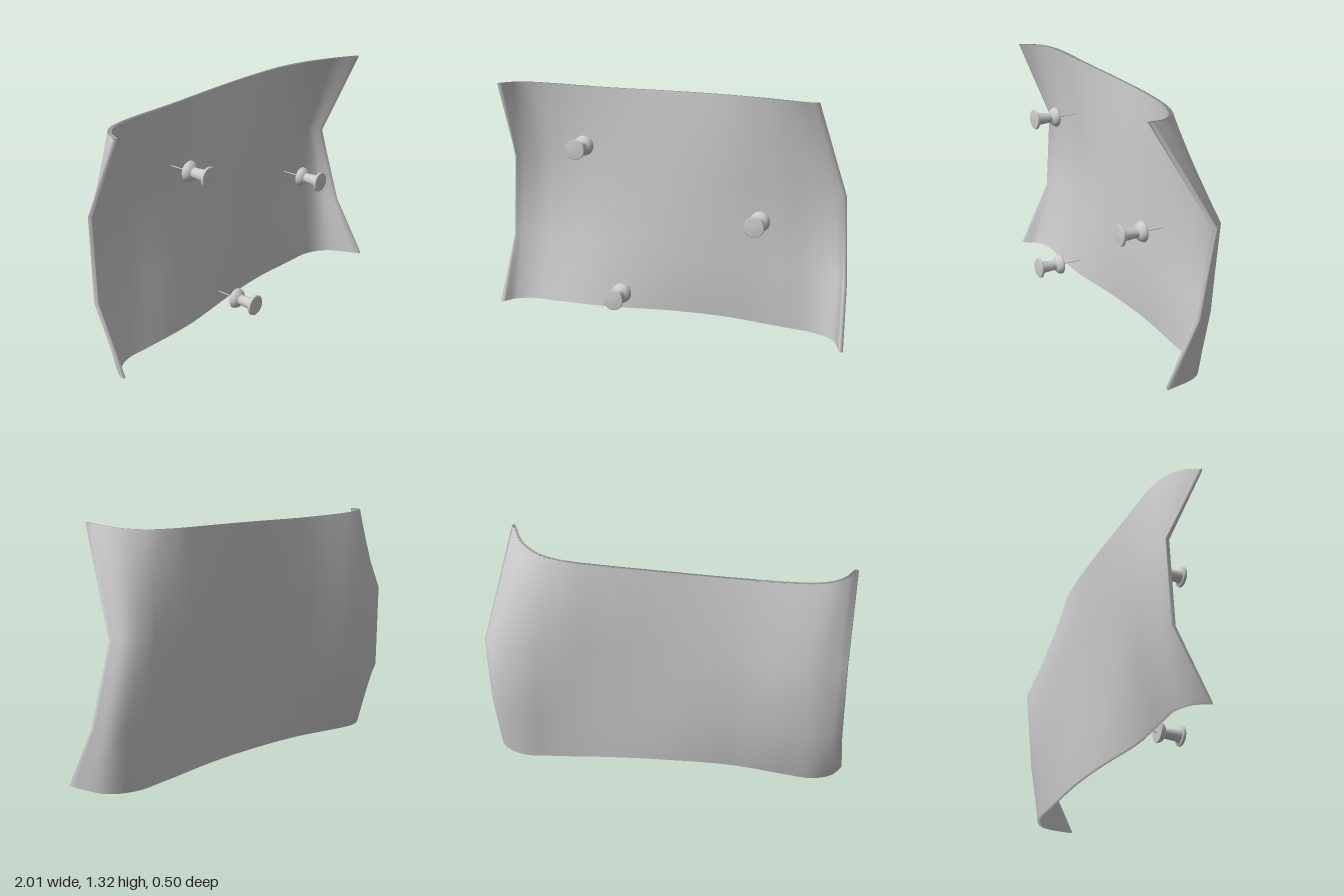
import * as THREE from 'three';

const COLUMNS = 56;
const HALF_THICKNESS = 0.01;

// Four rows of the sheet, bottom to top, as [x, y, z] points from left to right
const ROWS = [
  [[-1, 0.05, 0.02], [-0.95, 0.05, -0.06], [-0.85, 0.05, -0.105], [-0.7, 0.05, -0.1], [-0.4, 0.055, -0.085],
    [0, 0.06, -0.12], [0.3, 0.05, -0.145], [0.6, 0.022, -0.16], [0.8, 0.006, -0.16], [0.92, 0.002, -0.09], [0.995, 0.012, 0.11]],
  [[-0.99, 0.41, -0.16], [-0.95, 0.41, -0.175], [-0.85, 0.4, -0.195], [-0.7, 0.4, -0.19], [-0.4, 0.4, -0.14],
    [0, 0.39, -0.125], [0.35, 0.37, -0.145], [0.6, 0.35, -0.175], [0.78, 0.34, -0.2], [0.92, 0.335, -0.16], [0.975, 0.335, -0.06]],
  [[-0.98, 0.87, -0.18], [-0.94, 0.87, -0.195], [-0.83, 0.87, -0.23], [-0.7, 0.86, -0.23], [-0.4, 0.85, -0.18],
    [0, 0.83, -0.14], [0.3, 0.81, -0.155], [0.55, 0.8, -0.205], [0.75, 0.79, -0.238], [0.88, 0.78, -0.225], [0.94, 0.78, -0.165]],
  [[-0.975, 1.32, 0.02], [-0.935, 1.318, -0.06], [-0.87, 1.315, -0.115], [-0.75, 1.31, -0.145], [-0.4, 1.3, -0.152],
    [0, 1.297, -0.152], [0.3, 1.292, -0.145], [0.5, 1.287, -0.128], [0.65, 1.287, -0.08], [0.76, 1.297, 0.01], [0.84, 1.32, 0.145]],
];

// Thin curled sheet: each column is a closed ring, up the front and down the back
function makeSheet() {
  const curves = ROWS.map(row => new THREE.CatmullRomCurve3(row.map(p => new THREE.Vector3(...p))));
  const n = ROWS.length, ring = n * 2;
  const positions = [], index = [];
  const quad = (a, b, c, d) => index.push(a, b, c, a, c, d);

  for (let i = 0; i <= COLUMNS; i++) {
    const t = i / COLUMNS;
    for (let j = 0; j < ring; j++) {
      const front = j < n;
      const curve = curves[front ? j : ring - 1 - j];
      const p = curve.getPoint(t), tan = curve.getTangent(t);
      const k = (front ? 1 : -1) * HALF_THICKNESS / Math.hypot(tan.x, tan.z);
      positions.push(p.x - tan.z * k, p.y, p.z + tan.x * k);
    }
  }
  for (let i = 0; i < COLUMNS; i++) {
    for (let j = 0; j < ring; j++) {
      const a = i * ring + j, d = i * ring + (j + 1) % ring;
      quad(a, a + ring, d + ring, d);
    }
  }
  // Side rims
  const last = COLUMNS * ring;
  for (let j = 0; j < n - 1; j++) {
    const back = ring - 1 - j;
    quad(back, j, j + 1, back - 1);
    quad(last + j, last + back, last + back - 1, last + j + 1);
  }

  const geometry = new THREE.BufferGeometry();
  geometry.setAttribute('position', new THREE.Float32BufferAttribute(positions, 3));
  geometry.setIndex(index);
  geometry.computeVertexNormals();
  return geometry;
}

// Turned shape lying along z, from [radius, z] points
function lathe(profile, segments) {
  const points = profile.map(([r, z]) => new THREE.Vector2(r, z));
  return new THREE.LatheGeometry(points, segments).rotateX(Math.PI / 2);
}

export function createModel() {
  const model = new THREE.Group();
  const material = new THREE.MeshStandardMaterial({ color: 0xcccccc });
  const add = (parent, geometry, name) => {
    const mesh = new THREE.Mesh(geometry, material);
    mesh.name = name;
    parent.add(mesh);
  };

  add(model, makeSheet(), 'curledSheet');

  // Push pins: domed collar, tapered grip, round cap and needle
  const grip = lathe([
    [0, 0], [0.052, 0], [0.055, 0.004], [0.054, 0.013], [0.049, 0.024], [0.041, 0.033], [0.031, 0.038],
    [0.027, 0.042], [0.034, 0.124], [0.05, 0.126], [0.055, 0.129], [0.055, 0.139], [0.051, 0.143], [0, 0.145],
  ], 32);
  const needle = lathe([[0, -0.125], [0.003, -0.11], [0.003, 0.005]], 10);
  for (const [x, y, z] of [[-0.47, 1, 0.01], [0.52, 0.647, -0.012], [-0.222, 0.21, 0.107]]) {
    const pin = new THREE.Group();
    pin.name = 'pushPin';
    add(pin, grip, 'pinGrip');
    add(pin, needle, 'pinNeedle');
    pin.position.set(x, y, z);
    model.add(pin);
  }
  return model;
}
